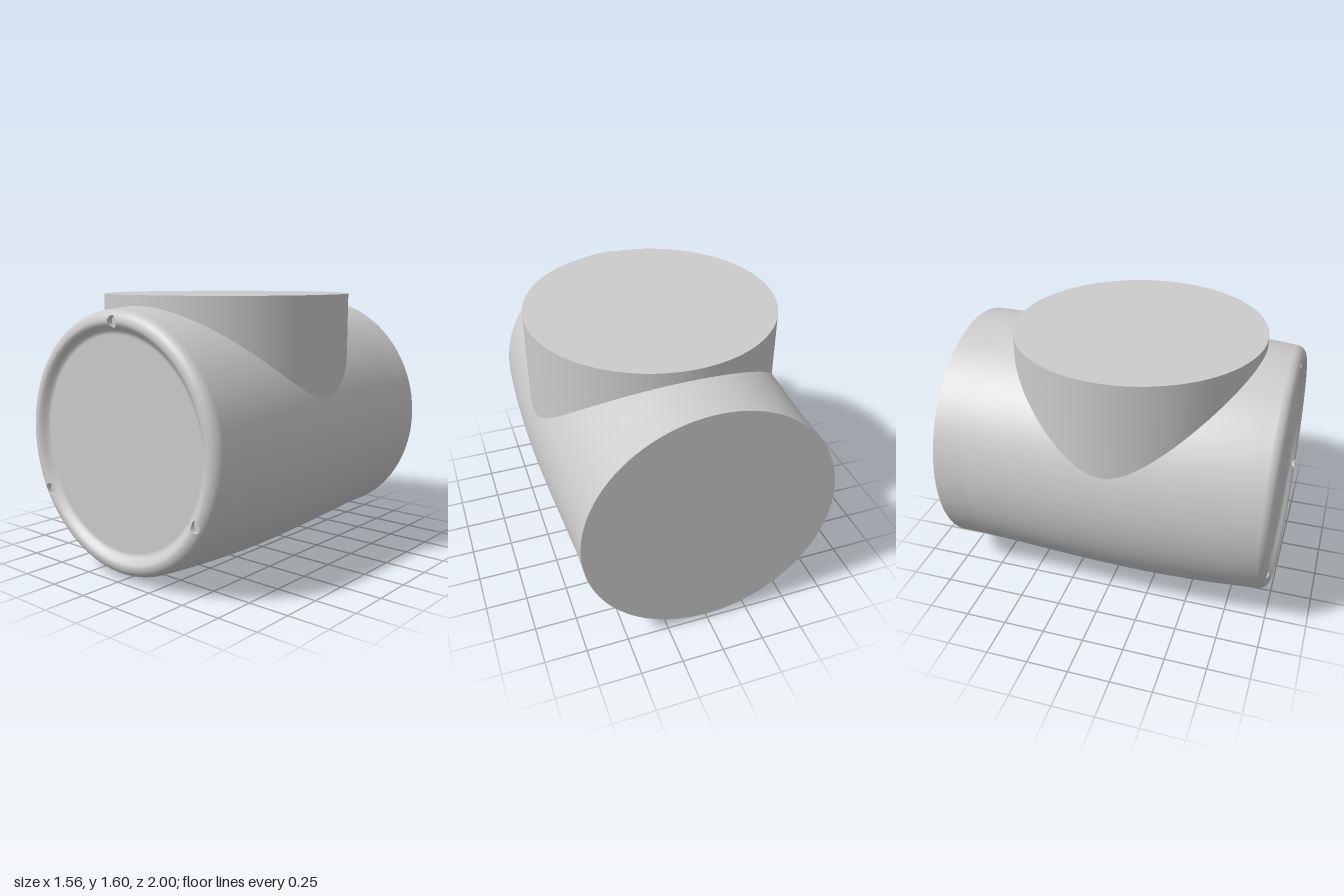
import * as THREE from 'three';
import { toCreasedNormals } from 'three/addons/utils/BufferGeometryUtils.js';

const AXIS_Y = 0.78;            // height of the barrel's axis
const CREST = 0.68;             // radius of the rim's crest and of the hole circle
const FILLET = 0.065, DEPTH = 0.04, SLOPE = 0.07;
const HOLE_R = 0.033, HOLE_Z = 0.965, BAND = 0.045;
const DEG = Math.PI / 180, HALF = 6 * DEG;

const material = new THREE.MeshStandardMaterial({ color: 0xcccccc });

// Height of the front rim at a given radius: round outside, soft S-curve inside
function rimZ(r) {
  const d = r - CREST;
  if (d >= 0) return 1 - FILLET + Math.sqrt(Math.max(0, FILLET * FILLET - d * d));
  const t = Math.min(1, -d / SLOPE);
  return 1 - DEPTH * (1 - Math.cos(Math.PI * t)) / 2;
}

// Rim profile points between two radii, outside to inside
function rimProfile(r0, r1, n) {
  return Array.from({ length: n + 1 }, (_, i) => {
    const r = r0 + (r1 - r0) * i / n;
    return new THREE.Vector2(r, rimZ(r));
  });
}

// Lathe around the z axis
function zLathe(points, segments = 120, start = 0, length = Math.PI * 2) {
  return new THREE.LatheGeometry(points, segments, start, length).rotateX(Math.PI / 2);
}

// Closed-loop grid: point(i, j) with i around and j along
function loopGrid(around, along, point) {
  const pos = [], index = [];
  for (let j = 0; j <= along; j++)
    for (let i = 0; i <= around; i++) pos.push(...point(i, j));
  const id = (i, j) => j * (around + 1) + i;
  for (let j = 0; j < along; j++)
    for (let i = 0; i < around; i++)
      index.push(id(i, j), id(i, j + 1), id(i + 1, j + 1), id(i, j), id(i + 1, j + 1), id(i + 1, j));
  const g = new THREE.BufferGeometry();
  g.setAttribute('position', new THREE.Float32BufferAttribute(pos, 3));
  g.setIndex(index);
  return g;
}

// Piece of rim around one hole, with the hole lying on +x
function holePatch() {
  const N = 32;
  const g = loopGrid(N, 4, (i, j) => {
    const u = i / N * Math.PI * 2, c = Math.cos(u), s = Math.sin(u);
    const m = Math.max(Math.abs(c), Math.abs(s));
    const r = CREST + BAND * c / m, a = HALF * s / m, k = j / 4;
    const x = (CREST + HOLE_R * c) * (1 - k) + r * Math.cos(a) * k;
    const y = HOLE_R * s * (1 - k) + r * Math.sin(a) * k;
    return [x, y, rimZ(Math.hypot(x, y))];
  });
  // normals follow the rim's slope so the patch blends in
  const p = g.attributes.position, normals = [], n = new THREE.Vector3();
  for (let i = 0; i < p.count; i++) {
    const x = p.getX(i), y = p.getY(i), r = Math.hypot(x, y);
    const slope = (rimZ(r + 0.001) - rimZ(r - 0.001)) / 0.002;
    n.set(-slope * x / r, -slope * y / r, 1).normalize();
    normals.push(n.x, n.y, n.z);
  }
  g.setAttribute('normal', new THREE.Float32BufferAttribute(normals, 3));
  return g;
}

// Wall and floor of one hole
function holeWell() {
  const N = 32;
  const g = loopGrid(N, 2, (i, j) => {
    const u = i / N * Math.PI * 2, rad = j === 0 ? 0 : HOLE_R;
    const x = CREST + rad * Math.cos(u), y = rad * Math.sin(u);
    return [x, y, j === 2 ? rimZ(Math.hypot(x, y)) : HOLE_Z];
  });
  return toCreasedNormals(g, 0.7);
}

export function createModel() {
  const model = new THREE.Group();
  const add = (name, geometry, parent = model) => {
    const mesh = new THREE.Mesh(geometry, material);
    mesh.name = name;
    parent.add(mesh);
    return mesh;
  };

  const barrel = new THREE.Group();
  barrel.name = 'barrel';
  barrel.position.y = AXIS_Y;
  model.add(barrel);

  // Straight collar and flat end at the back
  const v = (r, z) => new THREE.Vector2(r, z);
  add('backCap', zLathe([v(0, -1), v(0.745, -1)]), barrel);
  add('backCollar', zLathe([v(0.745, -1), v(0.745, -0.81)]), barrel);

  // Bulging shell, then the rounded front shoulder
  const bulge = new THREE.SplineCurve([
    v(0.745, -0.81), v(0.764, -0.4), v(0.775, -0.1), v(0.78, 0.22),
    v(0.772, 0.55), v(0.757, 0.8), v(0.745, 0.935)]).getPoints(40);
  add('shell', zLathe(bulge), barrel);
  const outer = Math.asin(BAND / FILLET);
  const shoulder = Array.from({ length: 9 }, (_, i) => {
    const a = Math.PI / 2 + (outer - Math.PI / 2) * i / 8;
    return v(CREST + FILLET * Math.sin(a), 1 - FILLET + FILLET * Math.cos(a));
  });
  add('frontShoulder', zLathe(shoulder), barrel);

  // Inner slope of the rim and the recessed face
  add('rimInnerSlope', zLathe(rimProfile(CREST - BAND, CREST - SLOPE, 6)), barrel);
  add('frontFace', zLathe([v(CREST - SLOPE, 1 - DEPTH), v(0, 1 - DEPTH)]), barrel);

  // Rim crest: three arcs with a small hole between each pair
  const crest = rimProfile(CREST + BAND, CREST - BAND, 16);
  for (const deg of [90, 210, 330]) {
    const a = deg * DEG;
    add('rimArc', zLathe(crest, 36, a + HALF + Math.PI / 2, 120 * DEG - 2 * HALF), barrel);
    add('rimHoleEdge', holePatch(), barrel).rotation.z = a;
    add('rimHole', holeWell(), barrel).rotation.z = a;
  }

  // Upright neck running into the barrel
  const neck = add('neck', new THREE.CylinderGeometry(0.745, 0.745, 0.715, 96));
  neck.position.set(0, 1.595 - 0.715 / 2, 0.055);
  return model;
}
